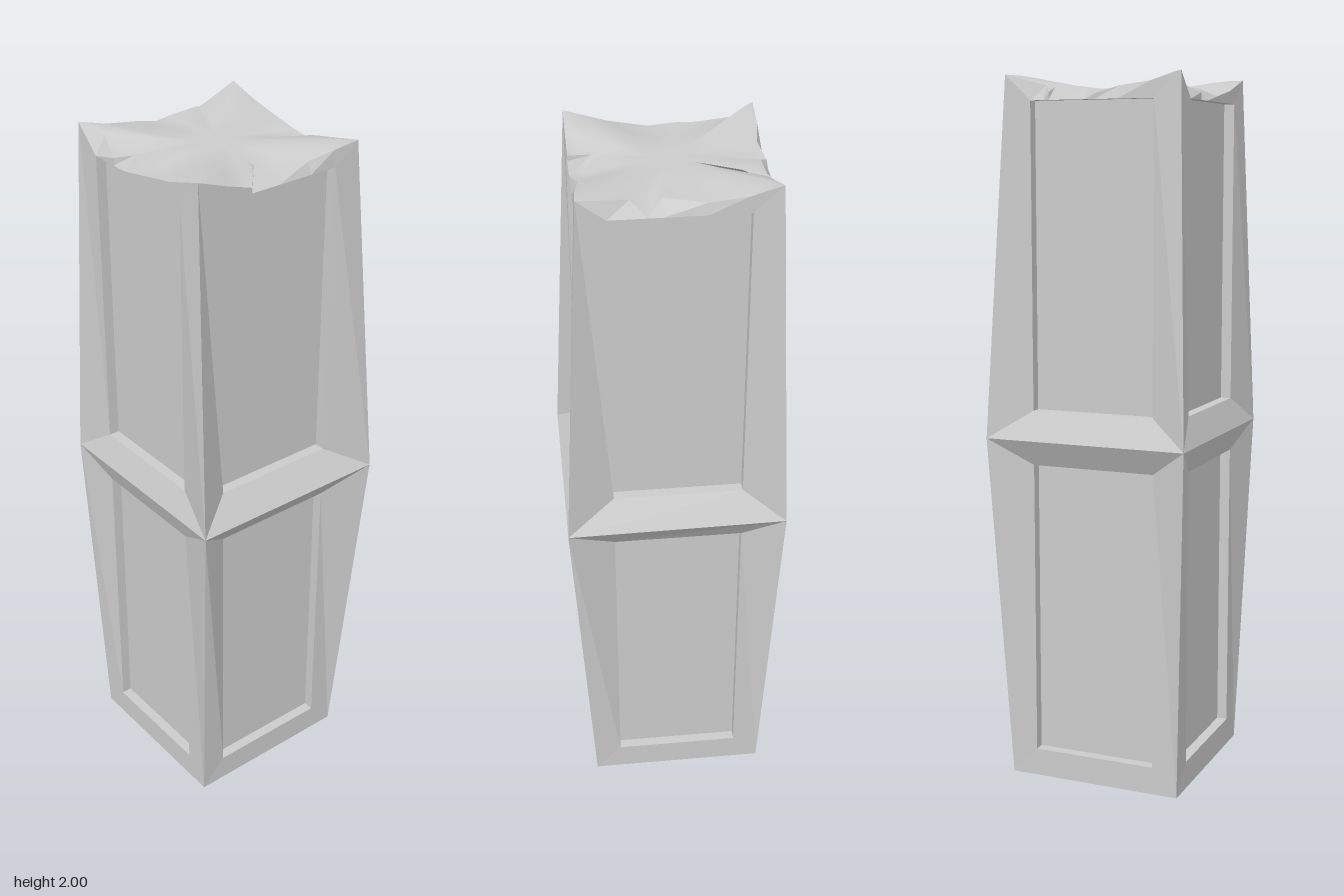
import * as THREE from 'three';

const material = new THREE.MeshStandardMaterial({ color: 0xcccccc, flatShading: true });
const smooth = new THREE.MeshStandardMaterial({ color: 0xcccccc });

const CX = -0.015, CZ = -0.007; // centre of the shaft
const HALF = 0.255;             // half width of the shaft ends
const PANEL = 0.18;             // half width of a panel
const DEPTH = 0.03;             // recess of a panel

// Widest corners at mid height, one starting each side: front, right, back, left
const waist = [[-0.3, 0.305], [0.3, 0.305], [0.292, -0.305], [-0.3, -0.305]]
  .map(([x, z]) => new THREE.Vector3(x, 1, z));

// Broken top rim of each side: [along, inset, height], starting at its corner
const rims = [
  [[-0.255, 0, 2], [-0.17, 0, 1.97], [-0.09, 0, 1.945], [-0.035, 0.062, 1.97], [-0.005, 0, 1.93],
    [0.1, 0.015, 1.96], [0.18, 0.004, 1.975]],
  [[-0.255, 0, 1.985], [-0.12, 0.035, 1.965], [-0.08, 0, 1.93], [-0.04, 0.04, 1.965], [0.07, 0.008, 1.96],
    [0.17, 0, 1.975]],
  [[-0.255, 0, 2], [-0.14, 0.022, 1.97], [-0.125, 0, 1.95], [-0.115, 0.02, 1.965], [-0.02, 0.02, 1.96],
    [0.01, 0, 1.945], [0.075, 0.015, 1.965], [0.17, 0, 1.975]],
  [[-0.255, 0, 2], [-0.19, 0.035, 1.975], [-0.1, 0, 1.95], [-0.05, 0.03, 1.965], [0.03, 0, 1.945],
    [0.14, 0, 1.965]],
];

// Point on side k: u runs to the right seen from outside, d is distance from the axis
function at(k, u, y, d = HALF) {
  const c = [1, 0, -1, 0][k], s = [0, 1, 0, -1][k];
  return new THREE.Vector3(CX + u * c + d * s, y, CZ - u * s + d * c);
}

function flatMesh(name, triangles) {
  const geometry = new THREE.BufferGeometry().setFromPoints(triangles);
  geometry.computeVertexNormals();
  const mesh = new THREE.Mesh(geometry, material);
  mesh.name = name;
  return mesh;
}

const quad = (a, b, c, d) => [a, b, c, a, c, d];

// Sunken panel: four reveals and a flat floor
function recess(k, y0, y1) {
  const ring = d => [at(k, -PANEL, y0, d), at(k, PANEL, y0, d), at(k, PANEL, y1, d), at(k, -PANEL, y1, d)];
  const outer = ring(HALF), inner = ring(HALF - DEPTH);
  const tris = quad(...inner);
  for (let i = 0; i < 4; i++) {
    const j = (i + 1) % 4;
    tris.push(...quad(outer[i], outer[j], inner[j], inner[i]));
  }
  return flatMesh('recessedPanel', tris);
}

// Lower frame: foot rail, twisted stiles and the slope out to the waist
function lowerFrame(k) {
  const A = waist[k], A2 = waist[(k + 1) % 4];
  const P = at(k, -HALF, 0), P2 = at(k, HALF, 0);
  const Q = at(k, -PANEL, 0.08), Q2 = at(k, PANEL, 0.08);
  const R = at(k, -PANEL, 0.925), R2 = at(k, PANEL, 0.925);
  return flatMesh('lowerFrame', [
    ...quad(P, P2, Q2, Q), ...quad(R, R2, A2, A),
    P, Q, A, Q, R, A, Q2, P2, R2, P2, A2, R2,
  ]);
}

const rimPoints = k => rims[k].map(([u, inset, y]) => at(k, u, y, HALF - inset));

// Upper frame: slope in from the waist, twisted stiles and the broken top rail
function upperFrame(k) {
  const A = waist[k], A2 = waist[(k + 1) % 4];
  const D = at(k, -PANEL, 1.08), D2 = at(k, PANEL, 1.08);
  const C = at(k, -PANEL, 1.93), C2 = at(k, PANEL, 1.93);
  const rim = [...rimPoints(k), rimPoints((k + 1) % 4)[0]];
  const B = rim[0], B2 = rim[rim.length - 1];
  const tris = [...quad(A, A2, D2, D), A, D, B, D, C, B, D2, A2, C2, A2, B2, C2];
  const us = [...rims[k].map(p => p[0]), HALF];
  const rail = us.map(u => at(k, THREE.MathUtils.clamp(u, -PANEL, PANEL), 1.93));
  for (let i = 0; i < rim.length - 1; i++) {
    tris.push(...quad(rail[i], rail[i + 1], rim[i + 1], rim[i]));
  }
  return flatMesh('upperFrame', tris);
}

// Smooth, uneven top surface shrinking in rings from the broken rim
function brokenTop() {
  const rim = [0, 1, 2, 3].flatMap(rimPoints), n = rim.length, rings = 8;
  const positions = [], index = [];
  for (let r = 0; r <= rings; r++) {
    const t = r / rings;
    for (const p of rim) {
      positions.push(
        THREE.MathUtils.lerp(p.x, CX, t),
        THREE.MathUtils.lerp(p.y, 1.967, THREE.MathUtils.smoothstep(t, 0, 0.8)),
        THREE.MathUtils.lerp(p.z, CZ, t));
    }
  }
  for (let r = 0; r < rings; r++) {
    for (let i = 0; i < n; i++) {
      const a = r * n + i, b = r * n + (i + 1) % n;
      index.push(a, b, b + n);
      if (r < rings - 1) index.push(a, b + n, a + n);
    }
  }
  const geometry = new THREE.BufferGeometry();
  geometry.setAttribute('position', new THREE.Float32BufferAttribute(positions, 3));
  geometry.setIndex(index);
  geometry.computeVertexNormals();
  const mesh = new THREE.Mesh(geometry, smooth);
  mesh.name = 'brokenTop';
  return mesh;
}

export function createModel() {
  const model = new THREE.Group();
  model.name = 'brokenPillar';
  ['front', 'right', 'back', 'left'].forEach((name, k) => {
    const side = new THREE.Group();
    side.name = name + 'Side';
    side.add(lowerFrame(k), upperFrame(k), recess(k, 0.08, 0.925), recess(k, 1.08, 1.93));
    model.add(side);
  });
  // Underside
  model.add(flatMesh('base', quad(at(0, HALF, 0), at(0, -HALF, 0), at(2, HALF, 0), at(2, -HALF, 0))));
  model.add(brokenTop());
  return model;
}
